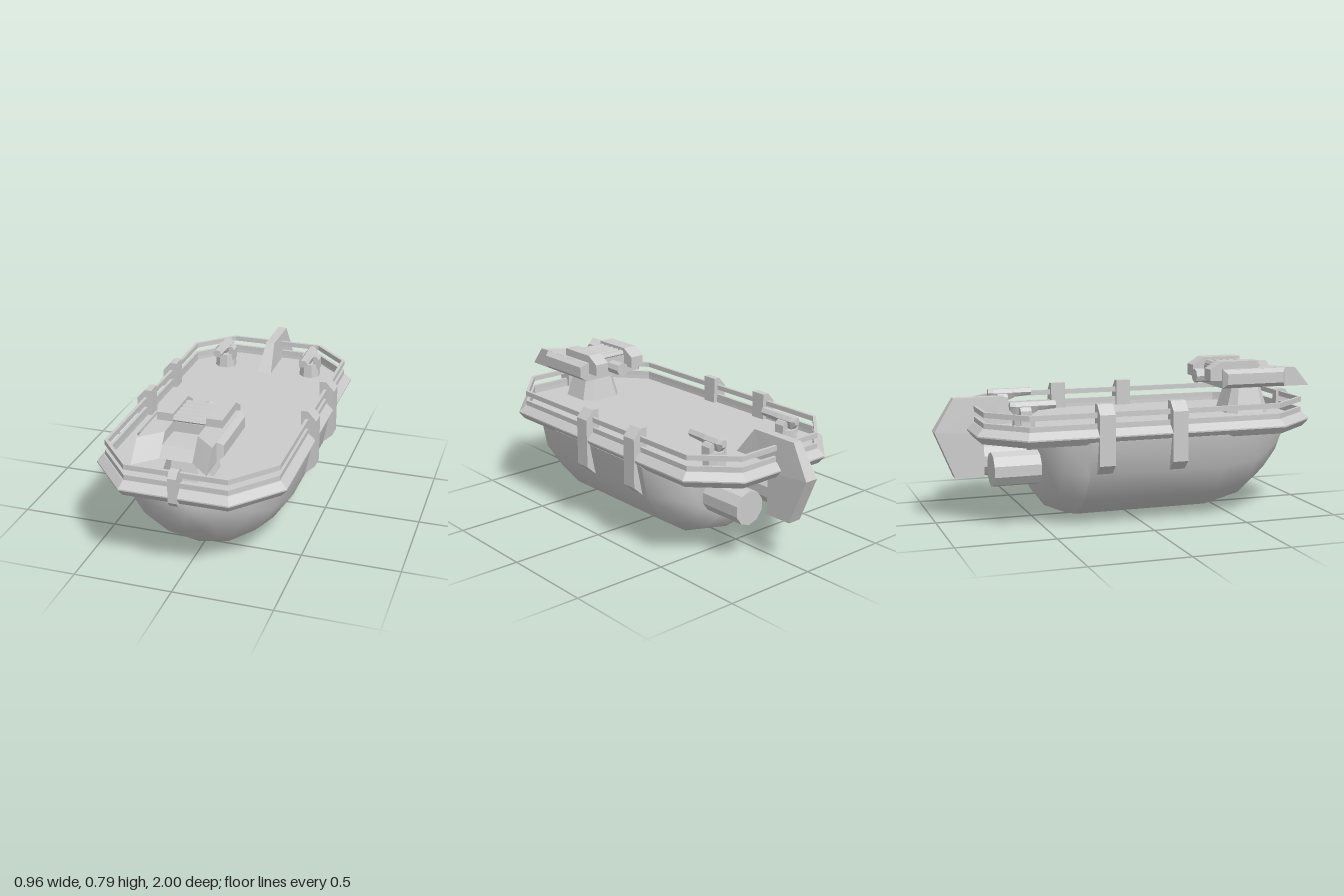
import * as THREE from 'three';
import { toCreasedNormals } from 'three/addons/utils/BufferGeometryUtils.js';

const flat = new THREE.MeshStandardMaterial({ color: 0xcccccc, flatShading: true });
const smooth = new THREE.MeshStandardMaterial({ color: 0xcccccc });

function add(parent, name, geometry, material = flat) {
  const mesh = new THREE.Mesh(geometry, material);
  mesh.name = name;
  parent.add(mesh);
  return mesh;
}

// Solid through a list of convex rings of [x, y, z], capped at both ends.
function loft(rings) {
  const n = rings[0].length, last = (rings.length - 1) * n, index = [];
  const pts = rings.flat();
  for (let r = 0; r < rings.length - 1; r++) {
    for (let i = 0; i < n; i++) {
      const a = r * n + i, b = r * n + (i + 1) % n;
      index.push(a, b, b + n, a, b + n, a + n);
    }
  }
  for (let i = 1; i < n - 1; i++) {
    index.push(0, i + 1, i, last, last + i, last + i + 1);
  }
  // Turn the faces outward if the solid came out inside out.
  const v = pts.map(p => new THREE.Vector3(...p));
  let volume = 0;
  for (let i = 0; i < index.length; i += 3) {
    volume += v[index[i]].dot(v[index[i + 1]].clone().cross(v[index[i + 2]]));
  }
  if (volume < 0) index.reverse();
  const g = new THREE.BufferGeometry();
  g.setAttribute('position', new THREE.Float32BufferAttribute(pts.flat(), 3));
  g.setIndex(index);
  g.computeVertexNormals();
  return g;
}

const shapeOf = pts => new THREE.Shape(pts.map(p => new THREE.Vector2(...p)));

// Outline [x, y] given depth along z, centred.
function prismZ(pts, depth) {
  return new THREE.ExtrudeGeometry(shapeOf(pts), { depth, bevelEnabled: false }).translate(0, 0, -depth / 2);
}
// Outline [z, y] given width along x, centred.
const prismX = (pts, width) => prismZ(pts, width).rotateY(-Math.PI / 2);

// Eight-sided deck outline as [x, z], moved inward by d.
function outline(d) {
  const x = 0.477 - d, f = 0.955 - d, b = -0.835 + d, k = 0.414 * d;
  const cx = 0.27 - k, zf = 0.72 - k, zb = -0.63 + k;
  return [[cx, f], [x, zf], [x, zb], [cx, b], [-cx, b], [-x, zb], [-x, zf], [-cx, f]];
}

function turret() {
  const g = new THREE.Group();
  g.name = 'bowTurret';
  // Square pedestal with cut corners, narrowing upward
  const foot = (y, w, c) => [[w, c], [c, w], [-c, w], [-w, c], [-w, -c], [-c, -w], [c, -w], [w, -c]]
    .map(([x, z]) => [x, y, z + 0.688]);
  add(g, 'turretPedestal', loft([foot(0.49, 0.124, 0.075), foot(0.65, 0.079, 0.055)]));
  // Body with a sunken floor between the arms
  add(g, 'turretBody', prismX([[0.5, 0.645], [0.5, 0.745], [0.71, 0.745], [0.71, 0.695],
    [0.86, 0.695], [0.9, 0.645]], 0.165));
  for (let i = 0; i < 5; i++) {
    add(g, 'coolingBar', new THREE.CylinderGeometry(0.02, 0.02, 0.165, 6)
      .rotateZ(Math.PI / 2).translate(0, 0.753, 0.522 + i * 0.042));
  }
  add(g, 'rearBarrel', new THREE.CylinderGeometry(0.037, 0.037, 0.11, 8)
    .rotateX(Math.PI / 2).translate(0, 0.697, 0.465));
  for (const s of [1, -1]) {
    const arm = (x, top, low) => [[s * x, 0.645, 0.5], [s * x, 0.745, 0.5], [s * x, 0.745, top], [s * x, 0.645, low]];
    add(g, 'turretArm', loft([arm(0.08, 0.82, 0.9), arm(0.181, 0.915, 0.997)]));
    const pod = (x, y0, y1, z0, z1) => [[s * x, y0, z0], [s * x, y1, z0], [s * x, y1, z1], [s * x, y0, z1]];
    add(g, 'armSidePod', loft([pod(0.18, 0.645, 0.745, 0.495, 0.855), pod(0.209, 0.668, 0.724, 0.515, 0.835)]));
    add(g, 'topHousing', prismX([[0.71, 0.74], [0.71, 0.785], [0.5, 0.785], [0.435, 0.745],
      [0.435, 0.685], [0.51, 0.685]], 0.08)).position.x = s * 0.121;
  }
  return g;
}

function deckGun(x) {
  const g = new THREE.Group();
  g.name = 'sternDeckGun';
  add(g, 'gunBase', new THREE.CylinderGeometry(0.052, 0.06, 0.08, 8).rotateY(Math.PI / 8).translate(0, 0.53, 0));
  for (const s of [1, -1]) {
    add(g, 'gunYoke', prismZ([[0.022, 0.54], [0.056, 0.54], [0.056, 0.598], [0.042, 0.615], [0.022, 0.615]]
      .map(([u, v]) => [u * s, v]), 0.055));
  }
  // Body and barrel with a ridged top and a level ridge line
  const ring = (z, w, y0, y1) => [[-w, 0.618, z], [-w / 2, y1, z], [w / 2, y1, z], [w, 0.618, z],
    [w / 2, y0, z], [-w / 2, y0, z]];
  add(g, 'gunBody', loft([ring(-0.07, 0.018, 0.6, 0.637), ring(-0.045, 0.03, 0.575, 0.638),
    ring(0.045, 0.03, 0.58, 0.638), ring(0.07, 0.026, 0.592, 0.638)]));
  add(g, 'gunBarrel', loft([ring(0.06, 0.026, 0.593, 0.638), ring(0.16, 0.025, 0.6, 0.638)]));
  g.position.set(x, 0, -0.595);
  return g;
}

export function createModel() {
  const model = new THREE.Group();
  model.name = 'boat';

  // Round hull: half circles whose radius changes along z, with a crease before the stern
  const hullPart = stations => toCreasedNormals(loft(stations.map(([z, r]) =>
    Array.from({ length: 9 }, (_, i) => {
      const a = Math.PI * i / 8;
      return [1.02 * r * Math.cos(a), 0.452 - r * Math.sin(a), z];
    }))), 0.8);
  add(model, 'hull', hullPart([[0.92, 0.02], [0.9, 0.1], [0.82, 0.215], [0.71, 0.325], [0.6, 0.405],
    [0.4, 0.452], [-0.31, 0.452]]), smooth);
  add(model, 'sternHull', hullPart([[-0.31, 0.452], [-0.43, 0.402], [-0.5, 0.312]]), smooth);

  // Deck slab with a bevelled rim
  const rims = [[0.44, 0.028], [0.475, 0], [0.482, 0], [0.515, 0.033], [0.515, 0.054], [0.497, 0.055]];
  add(model, 'deck', loft(rims.map(([y, d]) => outline(d).map(([x, z]) => [x, y, z]))));

  // Two rails running round the deck
  for (const top of [0.541, 0.595]) {
    const shape = shapeOf(outline(0.038));
    shape.holes.push(shapeOf(outline(0.054).reverse()));
    add(model, 'rail', new THREE.ExtrudeGeometry(shape, { depth: 0.026, bevelEnabled: false })
      .rotateX(Math.PI / 2).translate(0, top, 0));
  }

  // Side brackets and the bow post that hold the rails
  const bracket = [[0.4, 0.635], [0.435, 0.635], [0.479, 0.587], [0.479, 0.335], [0.42, 0.28], [0.4, 0.44]];
  for (const s of [1, -1]) {
    for (const z of [0.145, -0.235]) {
      add(model, 'railBracket', prismZ(bracket.map(([x, y]) => [s * x, y]), 0.08)).position.z = z;
    }
  }
  add(model, 'bowPost', prismX([[0.885, 0.49], [0.885, 0.6], [0.91, 0.61], [0.94, 0.605], [0.96, 0.58],
    [0.96, 0.455], [0.94, 0.43], [0.9, 0.44]], 0.044));

  // Tail fin, thinner along its top edge
  const fin = prismX([[-0.527, 0.49], [-0.64, 0.636], [-0.9, 0.636], [-1, 0.47], [-0.9, 0.23],
    [-0.75, 0.23], [-0.75, 0.45]], 0.074);
  const p = fin.attributes.position;
  for (let i = 0; i < p.count; i++) if (p.getY(i) > 0.6) p.setX(i, p.getX(i) * 0.65);
  add(model, 'tailFin', fin);

  // Twin engines and stern guns
  for (const s of [1, -1]) {
    add(model, 'engine', new THREE.CylinderGeometry(0.088, 0.088, 0.34, 10)
      .rotateX(Math.PI / 2).translate(s * 0.145, 0.288, -0.57));
    model.add(deckGun(s * 0.247));
  }

  model.add(turret());
  return model;
}
